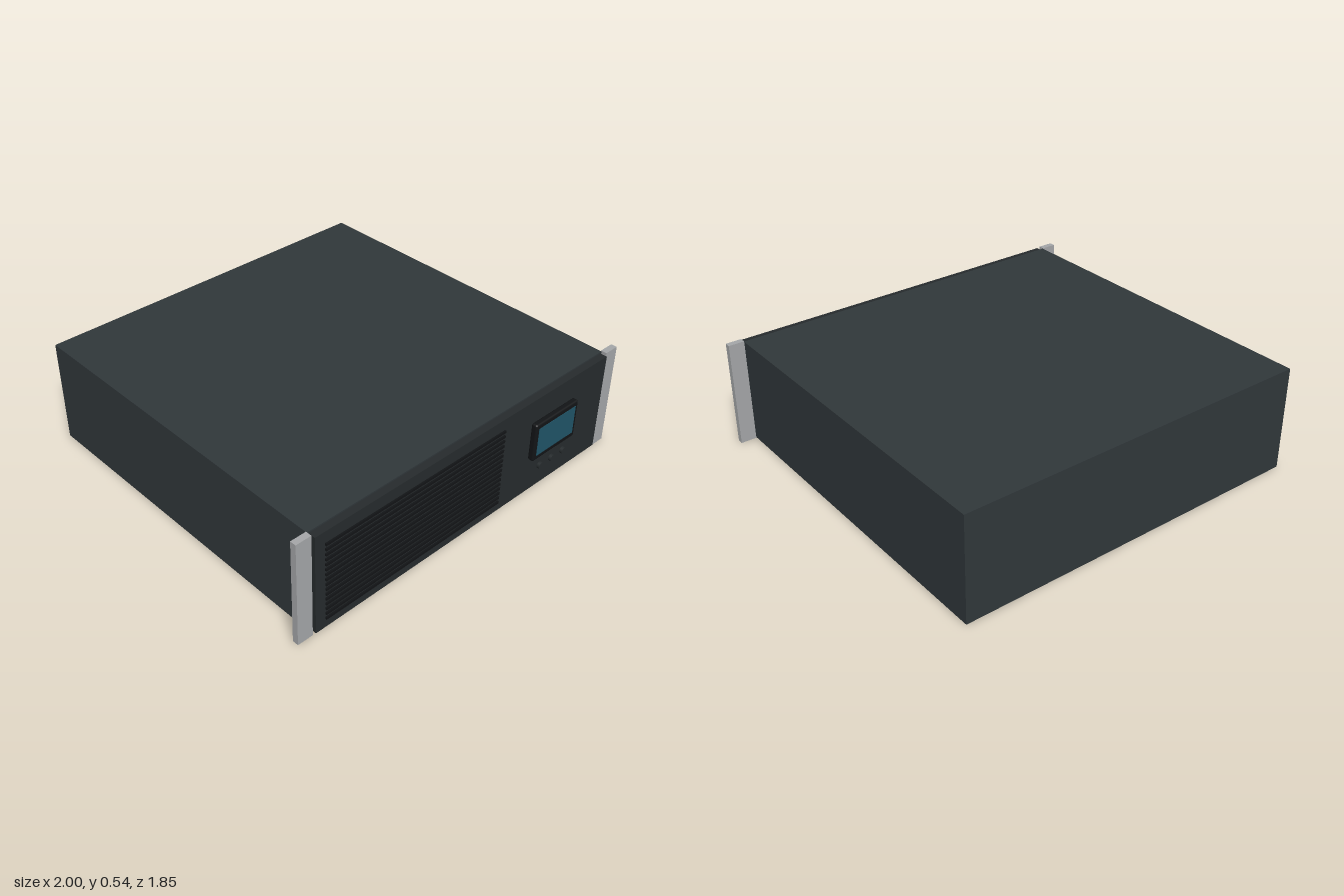
import * as THREE from 'three';
import { RoundedBoxGeometry } from 'three/addons/geometries/RoundedBoxGeometry.js';

const paint = (color) => new THREE.MeshStandardMaterial({ color });

export function createModel() {
  const group = new THREE.Group();
  const shell = paint(0x30373a);
  const panelDark = paint(0x262b2d);
  const black = paint(0x121416);
  const metal = paint(0xa4a6a8);
  const glass = paint(0x205467);

  const add = (name, geometry, material, x, y, z) => {
    const mesh = new THREE.Mesh(geometry, material);
    mesh.name = name;
    mesh.position.set(x, y, z);
    group.add(mesh);
    return mesh;
  };

  // Box given by its limits on each axis
  const box = (name, material, [x0, x1], [y0, y1], [z0, z1]) =>
    add(name, new THREE.BoxGeometry(x1 - x0, y1 - y0, z1 - z0), material,
      (x0 + x1) / 2, (y0 + y1) / 2, (z0 + z1) / 2);

  // Housing and front panel
  box('housing', shell, [-0.92, 0.92], [0.004, 0.537], [-0.923, 0.852]);
  box('frontPanel', panelDark, [-0.912, 0.912], [0.012, 0.53], [0.852, 0.889]);

  // Rack ears on both sides
  box('leftRackEar', metal, [0.92, 1], [0, 0.54], [0.848, 0.879]);
  box('rightRackEar', metal, [-1, -0.92], [0, 0.54], [0.848, 0.879]);

  // Ventilation slats
  const slats = 16;
  for (let i = 0; i < slats; i++) {
    const y = 0.065 + (i * 0.4) / (slats - 1);
    box('ventSlat' + (i + 1), black, [-0.86, 0.196], [y - 0.006, y + 0.006], [0.885, 0.897]);
  }

  // Display frame and screen
  add('displayFrame', new RoundedBoxGeometry(0.3, 0.204, 0.032, 3, 0.01), black, 0.537, 0.307, 0.903);
  box('displayScreen', glass, [0.407, 0.667], [0.233, 0.384], [0.91, 0.921]);

  // Round buttons below the display
  for (const [i, x] of [0.454, 0.537, 0.62].entries()) {
    const button = add('button' + (i + 1), new THREE.CylinderGeometry(0.017, 0.017, 0.015, 24),
      panelDark, x, 0.15, 0.9155);
    button.rotation.x = Math.PI / 2;
  }

  return group;
}
